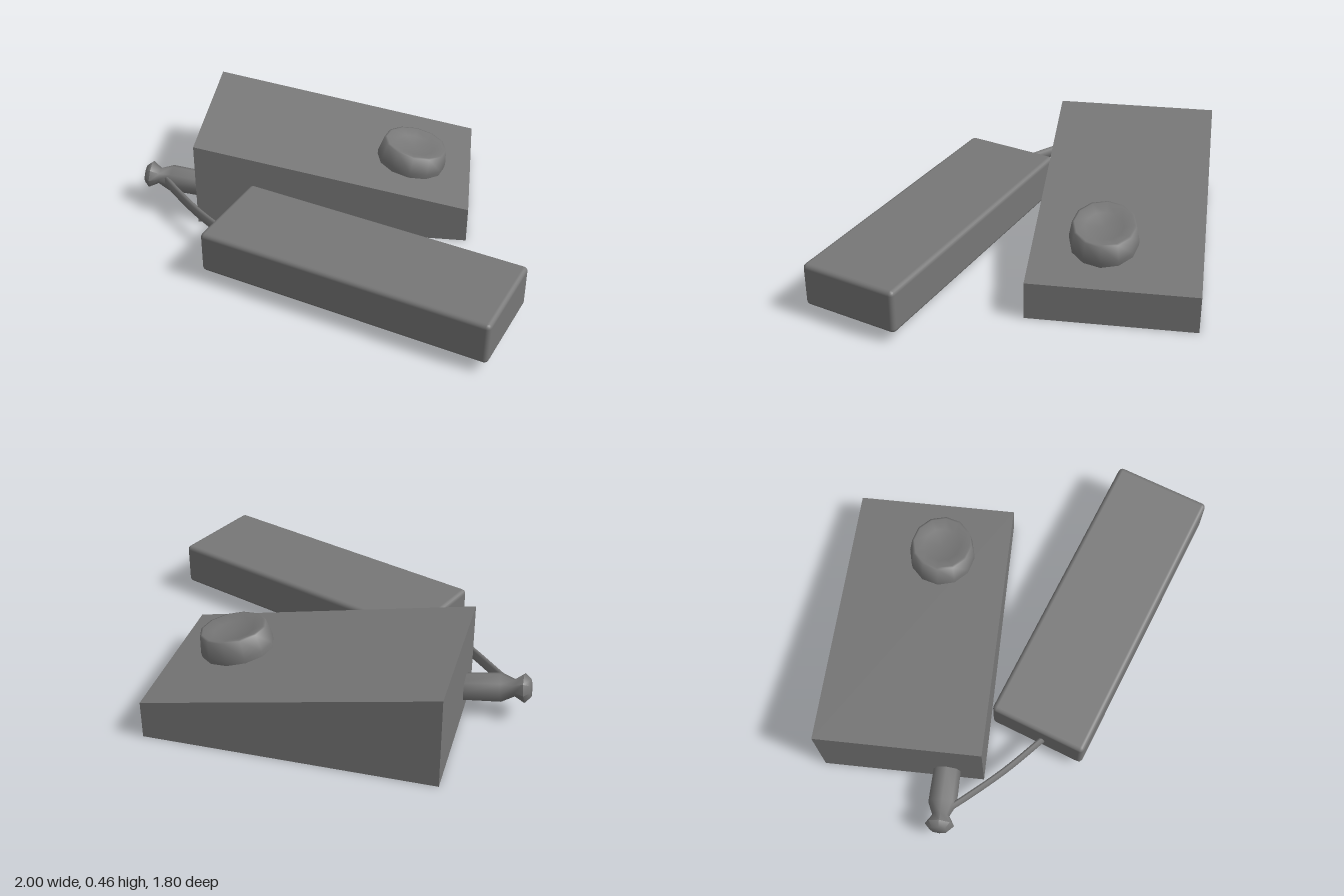
import * as THREE from 'three';
import { RoundedBoxGeometry } from 'three/addons/geometries/RoundedBoxGeometry.js';
import { toCreasedNormals } from 'three/addons/utils/BufferGeometryUtils.js';

const material = new THREE.MeshStandardMaterial({ color: 0x777777 });

function addPart(group, name, geometry) {
  const mesh = new THREE.Mesh(geometry, material);
  mesh.name = name;
  group.add(mesh);
  return mesh;
}

// Turned part from [radius, height] pairs, listed bottom to top
function turned(profile, sides, crease) {
  const points = profile.map(([r, y]) => new THREE.Vector2(r, y));
  return toCreasedNormals(new THREE.LatheGeometry(points, sides), crease);
}

export function createModel() {
  const group = new THREE.Group();
  const slope = Math.atan2(0.27, 1.4);

  // Wedge housing: side profile extruded from back to front
  const side = new THREE.Shape([
    new THREE.Vector2(-0.685, 0),
    new THREE.Vector2(0.717, 0),
    new THREE.Vector2(0.717, 0.19),
    new THREE.Vector2(-0.685, 0.46),
  ]);
  const wedge = new THREE.ExtrudeGeometry(side, { depth: 0.805, bevelEnabled: false });
  addPart(group, 'wedgeHousing', wedge).position.z = -0.9;

  // Round knob with a softly dished top, square to the sloping face
  const knob = addPart(group, 'knob', turned([
    [0, -0.01], [0.178, -0.01], [0.181, 0.025], [0.165, 0.112],
    [0.153, 0.115], [0.1, 0.098], [0, 0.09],
  ], 12, 1.35));
  knob.position.set(0.402, 0.252, -0.43);
  knob.rotation.z = -slope;
  knob.scale.z = 0.92;

  // Plug with a narrow neck and flared tip, leaning slightly upward
  const plug = addPart(group, 'plug', turned([
    [0, -0.02], [0.067, -0.02], [0.07, 0.18], [0.042, 0.243],
    [0.072, 0.29], [0.045, 0.318], [0, 0.318],
  ], 8, 1.3));
  plug.position.set(-0.68, 0.12, -0.275);
  plug.rotation.z = Math.PI / 2 - 0.14;

  // Flat cable running from the plug to the block
  const path = new THREE.CatmullRomCurve3([
    new THREE.Vector3(-0.88, 0.075, -0.24),
    new THREE.Vector3(-0.83, 0.072, -0.18),
    new THREE.Vector3(-0.66, 0.068, 0.01),
    new THREE.Vector3(-0.46, 0.068, 0.2),
  ]);
  const cable = new THREE.TubeGeometry(path, 16, 0.016, 8, false);
  addPart(group, 'cable', cable).scale.y = 2;

  // Long block with slightly rounded edges, turned away from the wedge
  const block = addPart(group, 'roundedBlock', new RoundedBoxGeometry(1.495, 0.22, 0.495, 2, 0.022));
  block.position.set(0.22, 0.161, 0.41);
  block.rotation.y = -0.36;

  return group;
}
